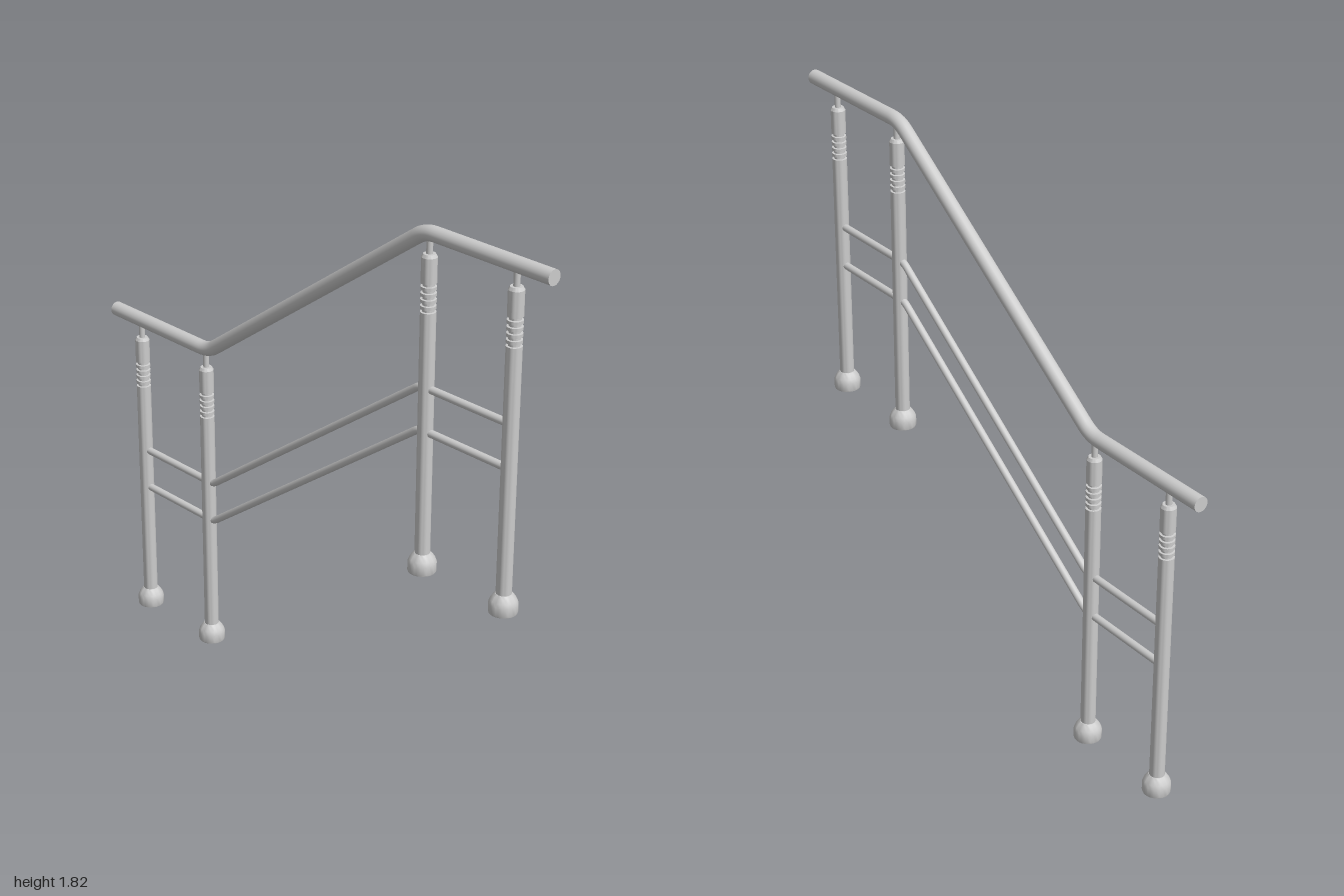
import * as THREE from 'three';
import { toCreasedNormals } from 'three/addons/utils/BufferGeometryUtils.js';

const RISE = 0.69; // height of the upper landing above the lower one

export function createModel() {
  const group = new THREE.Group();
  const mat = new THREE.MeshStandardMaterial({ color: 0xcccccc });
  const add = (name, geo, parent) => {
    const mesh = new THREE.Mesh(geo, mat);
    mesh.name = name;
    parent.add(mesh);
    return mesh;
  };
  const lathe = (pts) => toCreasedNormals(
    new THREE.LatheGeometry(pts.map(([r, y]) => new THREE.Vector2(r, y)), 28), 0.5);

  // Bar running level, up the slope, then level again, with rounded bends and flat ends
  function bar(name, x0, x1, bend, y, radius, round) {
    const p = [[x0, y], [-bend, y], [bend, y + RISE], [x1, y + RISE]]
      .map(([a, b]) => new THREE.Vector3(a, b, 0));
    const near = (from, to) => from.clone().add(to.clone().sub(from).setLength(round));
    const a1 = near(p[1], p[0]), a2 = near(p[1], p[2]);
    const b1 = near(p[2], p[1]), b2 = near(p[2], p[3]);
    const path = new THREE.CurvePath();
    path.add(new THREE.LineCurve3(p[0], a1));
    path.add(new THREE.QuadraticBezierCurve3(a1, p[1], a2));
    path.add(new THREE.LineCurve3(a2, b1));
    path.add(new THREE.QuadraticBezierCurve3(b1, p[2], b2));
    path.add(new THREE.LineCurve3(b2, p[3]));
    const part = new THREE.Group();
    part.name = name;
    add(name + 'Tube', new THREE.TubeGeometry(path, 160, radius, 20, false), part);
    for (const [end, dir] of [[p[0], -1], [p[3], 1]]) {
      const cap = add(name + 'End', new THREE.CircleGeometry(radius, 20), part);
      cap.position.copy(end);
      cap.rotation.y = dir * Math.PI / 2;
    }
    group.add(part);
  }

  bar('handrail', -1, 1, 0.5, 1.104, 0.0245, 0.04);
  bar('upperRail', -0.862, 0.862, 0.492, 0.615, 0.0125, 0.02);
  bar('lowerRail', -0.862, 0.862, 0.492, 0.473, 0.0125, 0.02);

  // Post profile: tube, grooved collar, rounded head
  const R = 0.0245, post = [[R, 0.04], [R, 0.86]];
  const grooves = 5, step = 0.02;
  for (let i = 0; i < grooves; i++) {
    const y = 0.86 + i * step;
    post.push([0.018, y + 0.001], [0.018, y + 0.009], [R, y + 0.01], [R, y + step]);
  }
  post.push([R, 1.03], [0.019, 1.04], [0, 1.04]);
  const postGeo = lathe(post);
  const footGeo = lathe([[0, 0], [0.044, 0], [0.0455, 0.004], [0.0455, 0.032],
    [0.041, 0.044], [0.033, 0.056], [0.026, 0.064], [0.02, 0.065]]);
  const pinGeo = new THREE.CylinderGeometry(0.01, 0.01, 0.065, 16);

  for (const [x, y] of [[-0.862, 0], [-0.517, 0], [0.517, RISE], [0.862, RISE]]) {
    const unit = new THREE.Group();
    unit.name = 'post';
    unit.position.set(x, y, 0);
    add('postTube', postGeo, unit);
    add('postFoot', footGeo, unit);
    add('handrailPin', pinGeo, unit).position.y = 1.065;
    group.add(unit);
  }
  return group;
}
